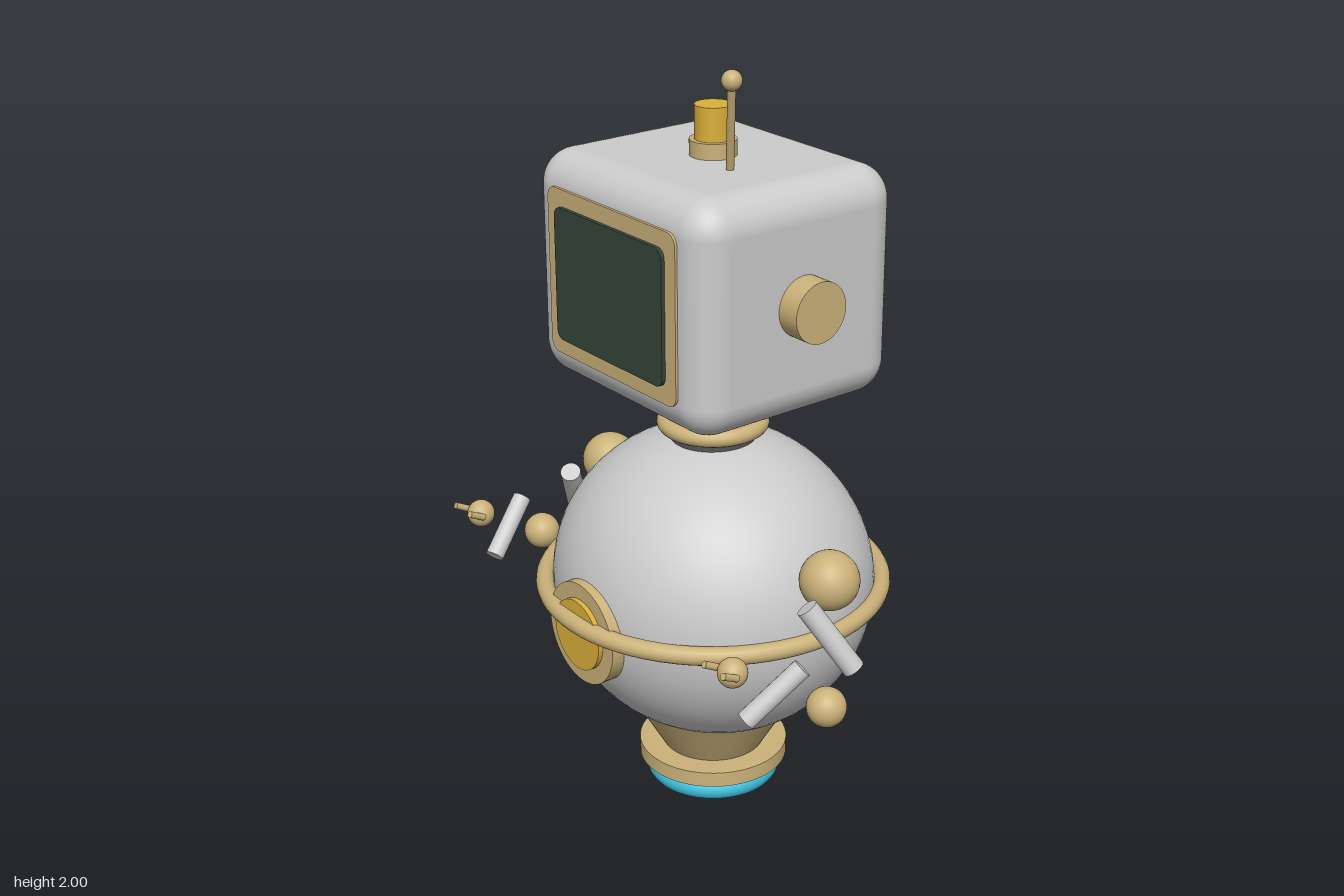
import * as THREE from 'three';
import { RoundedBoxGeometry } from 'three/addons/geometries/RoundedBoxGeometry.js';

const mat = (color) => new THREE.MeshStandardMaterial({ color });
const GREY = mat(0xcccccc), TAN = mat(0xcbb27a), GOLD = mat(0xdcb03c);
const DARK = mat(0x55555a), SCREEN = mat(0x35453a), CYAN = mat(0x3fc1de);

function add(parent, name, geometry, material, x = 0, y = 0, z = 0) {
  const mesh = new THREE.Mesh(geometry, material);
  mesh.name = name;
  mesh.position.set(x, y, z);
  parent.add(mesh);
  return mesh;
}

const ball = (r) => new THREE.SphereGeometry(r, 32, 20);
const drum = (top, bottom, h) => new THREE.CylinderGeometry(top, bottom, h, 48);
const hoop = (R, r) => new THREE.TorusGeometry(R, r, 16, 72).rotateX(Math.PI / 2);

// Cylinder running from point a to point b
function rod(parent, name, a, b, r, material) {
  const from = new THREE.Vector3(...a), to = new THREE.Vector3(...b);
  const dir = to.clone().sub(from);
  const mesh = add(parent, name, new THREE.CylinderGeometry(r, r, dir.length(), 24), material);
  mesh.position.copy(from).add(to).multiplyScalar(0.5);
  mesh.quaternion.setFromUnitVectors(new THREE.Vector3(0, 1, 0), dir.normalize());
}

// Flat panel with rounded corners, facing +z
function panel(w, h, r, depth) {
  const x = w / 2, y = h / 2, s = new THREE.Shape();
  s.moveTo(-x + r, -y);
  s.lineTo(x - r, -y).absarc(x - r, -y + r, r, -Math.PI / 2, 0);
  s.lineTo(x, y - r).absarc(x - r, y - r, r, 0, Math.PI / 2);
  s.lineTo(-x + r, y).absarc(-x + r, y - r, r, Math.PI / 2, Math.PI);
  s.lineTo(-x, -y + r).absarc(-x + r, -y + r, r, Math.PI, Math.PI * 1.5);
  return new THREE.ExtrudeGeometry(s, { depth, bevelEnabled: false, curveSegments: 8 });
}

function buildBase(model) {
  const base = new THREE.Group();
  base.name = 'base';
  add(base, 'hoverRing', hoop(0.15, 0.031), CYAN, 0, 0.031, 0);
  add(base, 'baseDisc', drum(0.2, 0.2, 0.042), TAN, 0, 0.086, 0);
  add(base, 'baseCone', drum(0.222, 0.135, 0.15), TAN, 0, 0.178, 0);
  model.add(base);
}

function buildTorso(model) {
  const torso = new THREE.Group();
  torso.name = 'torso';
  const shell = new THREE.SphereGeometry(1, 64, 40).scale(0.44, 0.415, 0.415);
  add(torso, 'bodyShell', shell, GREY, 0, 0.6, 0);
  add(torso, 'waistRing', hoop(0.444, 0.024), TAN, 0, 0.602, 0);
  // chest badge
  add(torso, 'badgeRim', drum(0.137, 0.137, 0.045).rotateX(Math.PI / 2), TAN, 0, 0.567, 0.404);
  add(torso, 'badgeCentre', drum(0.095, 0.095, 0.04).rotateX(Math.PI / 2), GOLD, 0, 0.567, 0.42);
  // neck
  add(torso, 'neck', drum(0.11, 0.11, 0.14), DARK, 0, 1.038, 0);
  add(torso, 'neckRing', hoop(0.123, 0.022), TAN, 0, 1.043, 0);
  model.add(torso);
}

function buildHead(model) {
  const head = new THREE.Group();
  head.name = 'head';
  add(head, 'headShell', new RoundedBoxGeometry(0.695, 0.59, 0.615, 8, 0.09), GREY, 0, 1.45, 0);
  add(head, 'screenFrame', panel(0.515, 0.43, 0.03, 0.03), TAN, 0, 1.452, 0.284);
  add(head, 'screen', panel(0.435, 0.344, 0.025, 0.03), SCREEN, 0, 1.452, 0.294);
  for (const s of [1, -1]) {
    add(head, s > 0 ? 'leftEar' : 'rightEar', drum(0.077, 0.077, 0.09).rotateZ(Math.PI / 2), TAN, s * 0.365, 1.452, 0);
  }
  // lamp on the crown
  add(head, 'lampBase', drum(0.059, 0.059, 0.06), TAN, 0, 1.755, 0);
  add(head, 'lamp', drum(0.046, 0.046, 0.09), GOLD, 0, 1.825, 0);
  // antenna
  rod(head, 'antennaRod', [0.128, 1.74, 0.05], [0.186, 1.976, 0.092], 0.01, TAN);
  add(head, 'antennaTip', ball(0.025), TAN, 0.186, 1.976, 0.092);
  model.add(head);
}

// s = 1 for the left arm, -1 for the right
function buildArm(model, s) {
  const arm = new THREE.Group();
  arm.name = s > 0 ? 'leftArm' : 'rightArm';
  const p = (x, y, z) => [s * x, y, z];
  add(arm, 'shoulder', ball(0.076), TAN, ...p(0.462, 0.77, 0));
  rod(arm, 'upperArm', p(0.502, 0.746, 0.107), p(0.588, 0.587, 0.026), 0.028, GREY);
  add(arm, 'elbow', ball(0.05), TAN, ...p(0.613, 0.532, 0.135));
  rod(arm, 'forearm', p(0.602, 0.66, 0.205), p(0.55, 0.538, 0.335), 0.025, GREY);
  add(arm, 'hand', ball(0.037), TAN, ...p(0.547, 0.682, 0.373));
  for (const side of [1, -1]) {
    rod(arm, 'finger', p(0.547 + side * 0.032, 0.685, 0.385), p(0.547 + side * 0.036, 0.708, 0.43), 0.009, TAN);
  }
  model.add(arm);
}

export function createModel() {
  const model = new THREE.Group();
  model.name = 'robot';
  buildBase(model);
  buildTorso(model);
  buildHead(model);
  for (const s of [1, -1]) buildArm(model, s);
  return model;
}
